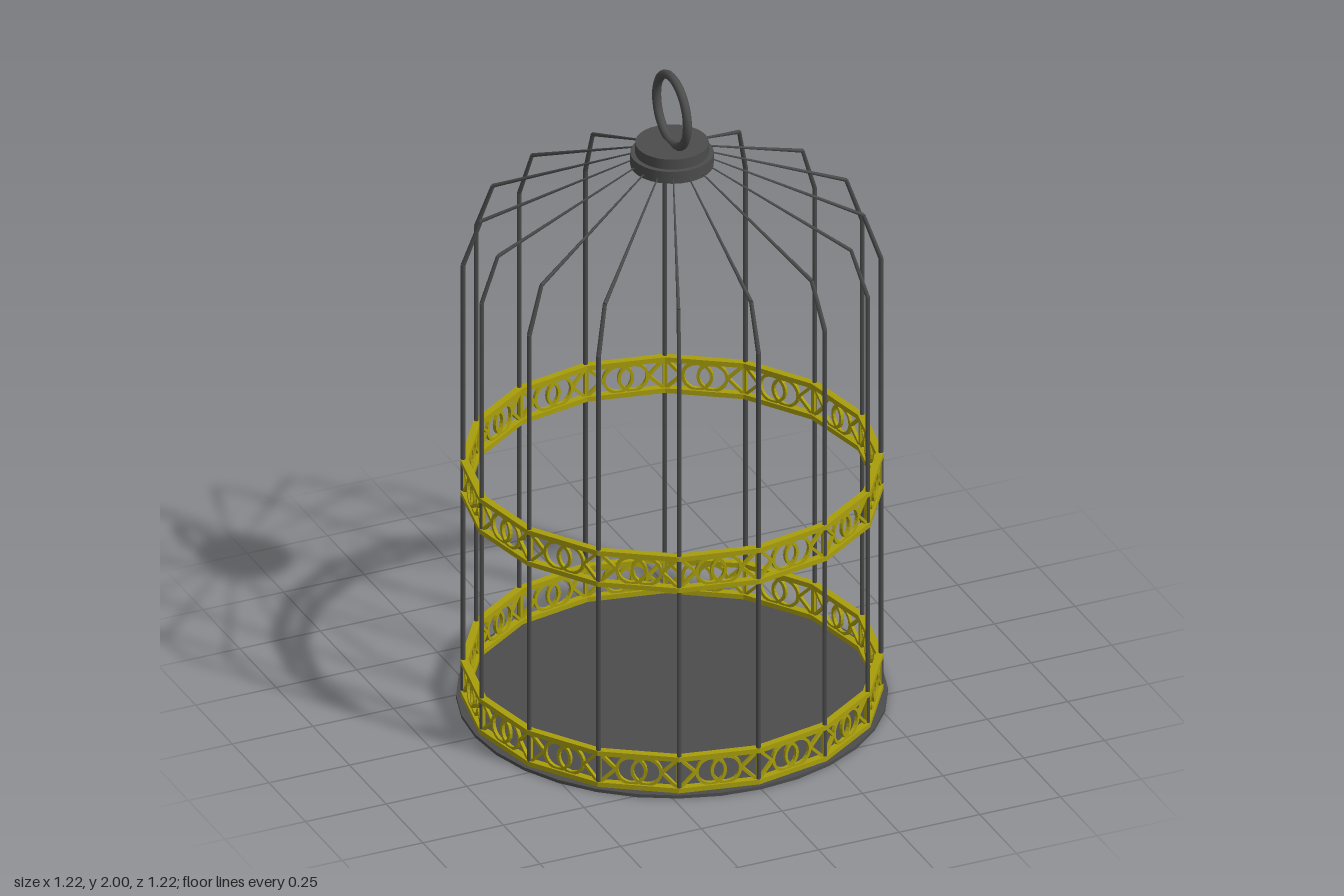
import * as THREE from 'three';
import { mergeGeometries, toCreasedNormals } from 'three/addons/utils/BufferGeometryUtils.js';

const SIDES = 16;
const STEP = (Math.PI * 2) / SIDES;
const BAR_R = 0.59;

const iron = new THREE.MeshStandardMaterial({ color: 0x4c4c4c });
iron.name = 'dark iron';
const brass = new THREE.MeshStandardMaterial({ color: 0xa99e0c });
brass.name = 'brass';

function add(parent, name, geometry, material) {
  const mesh = new THREE.Mesh(geometry, material);
  mesh.name = name;
  parent.add(mesh);
  return mesh;
}

// Tapered round rod between two points
function rod(a, b, ra, rb) {
  const dir = b.clone().sub(a);
  const g = new THREE.CylinderGeometry(rb, ra, dir.length(), 6);
  g.applyQuaternion(new THREE.Quaternion().setFromUnitVectors(
    new THREE.Vector3(0, 1, 0), dir.clone().normalize()));
  const mid = a.clone().add(b).multiplyScalar(0.5);
  return g.translate(mid.x, mid.y, mid.z);
}

// One bar: upright, bent shoulder, thin roof wire
function barGeometry() {
  const pts = [[BAR_R, 0.01], [BAR_R, 1.395], [0.54, 1.535], [0.1, 1.73]]
    .map(([r, y]) => new THREE.Vector3(0, y, r));
  const radii = [0.007, 0.007, 0.006, 0.002];
  return mergeGeometries([0, 1, 2].map(i => rod(pts[i], pts[i + 1], radii[i], radii[i + 1])));
}

// Sixteen-sided rail with a rectangular section
function railGeometry(y0, y1) {
  const profile = [[0.576, y0], [0.598, y0], [0.598, y1], [0.576, y1], [0.576, y0]]
    .map(([x, y]) => new THREE.Vector2(x, y));
  return toCreasedNormals(new THREE.LatheGeometry(profile, SIDES), 0.2);
}

// Flat ring for the filigree
function hoop(x, r, width, depth) {
  const shape = new THREE.Shape().absarc(0, 0, r, 0, Math.PI * 2, false);
  shape.holes.push(new THREE.Path().absarc(0, 0, r - width, 0, Math.PI * 2, true));
  return new THREE.ExtrudeGeometry(shape, { depth, bevelEnabled: false, curveSegments: 10 })
    .translate(x, 0, -depth / 2);
}

// Flat strip between two points of a panel
function strip(x0, y0, x1, y1, width, depth) {
  const g = new THREE.BoxGeometry(Math.hypot(x1 - x0, y1 - y0), width, depth).toNonIndexed();
  return g.rotateZ(Math.atan2(y1 - y0, x1 - x0)).translate((x0 + x1) / 2, (y0 + y1) / 2, 0);
}

// Filigree panel: two linked hoops, with forked struts toward each bar
function panelGeometry() {
  const parts = [];
  for (const s of [-1, 1]) {
    parts.push(hoop(s * 0.022, 0.046, 0.009, 0.01));
    for (const t of [-1, 1]) {
      parts.push(strip(s * 0.066, 0, s * 0.108, t * 0.042, 0.009, 0.01));
    }
    parts.push(strip(s * 0.111, -0.045, s * 0.111, 0.045, 0.006, 0.01));
  }
  return mergeGeometries(parts);
}

function band(name, y0) {
  const group = new THREE.Group();
  group.name = name;
  const height = 0.115, rail = 0.015;
  add(group, 'lowerRail', railGeometry(0, rail), brass);
  add(group, 'upperRail', railGeometry(height - rail, height), brass);
  const panel = panelGeometry();
  const apothem = 0.587 * Math.cos(STEP / 2);
  const panels = [];
  for (let i = 0; i < SIDES; i++) {
    panels.push(panel.clone().translate(0, height / 2, apothem).rotateY((i + 0.5) * STEP));
  }
  add(group, 'filigree', mergeGeometries(panels), brass);
  group.position.y = y0;
  return group;
}

export function createModel() {
  const cage = new THREE.Group();
  cage.name = 'birdcage';

  // Floor
  add(cage, 'floor', new THREE.CylinderGeometry(0.61, 0.61, 0.01, 32), iron).position.y = 0.005;

  // Bars
  const bars = new THREE.Group();
  bars.name = 'bars';
  const bar = barGeometry();
  for (let i = 0; i < SIDES; i++) add(bars, 'bar', bar, iron).rotation.y = i * STEP;
  cage.add(bars);

  // Ornamental bands
  cage.add(band('lowerBand', 0.01), band('middleBand', 0.655));

  // Stepped cap
  add(cage, 'capBase', new THREE.CylinderGeometry(0.118, 0.118, 0.038, 32), iron).position.y = 1.729;
  add(cage, 'capTop', new THREE.CylinderGeometry(0.104, 0.104, 0.032, 32), iron).position.y = 1.764;

  // Hanging ring
  const ring = add(cage, 'hangingRing', new THREE.TorusGeometry(0.105, 0.013, 10, 36), iron);
  ring.rotation.y = Math.PI / 2;
  ring.position.y = 1.882;

  return cage;
}
